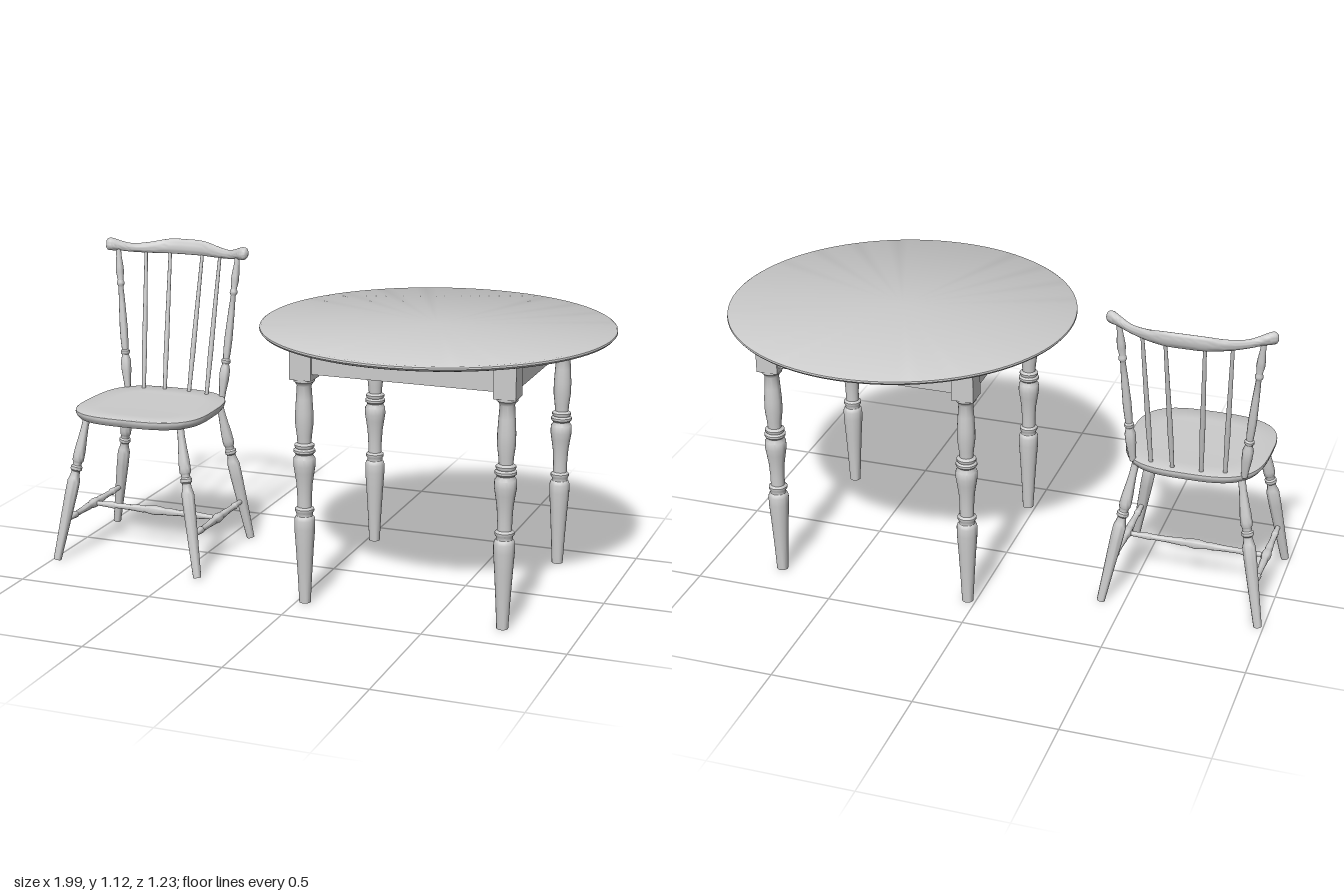
import * as THREE from 'three';
import { toCreasedNormals } from 'three/addons/utils/BufferGeometryUtils.js';

const material = new THREE.MeshStandardMaterial({ color: 0xcccccc, side: THREE.DoubleSide });
const V = (x, y, z) => new THREE.Vector3(x, y, z);

function add(parent, name, geometry) {
  const mesh = new THREE.Mesh(geometry, material);
  mesh.name = name;
  parent.add(mesh);
  return mesh;
}

// Turned part between two points; profile is [fraction along, radius]
function turned(parent, name, a, b, profile, sides = 24) {
  const length = a.distanceTo(b);
  const pts = profile.map(([t, r]) => new THREE.Vector2(r, t * length));
  pts.unshift(new THREE.Vector2(0, pts[0].y));
  pts.push(new THREE.Vector2(0, pts[pts.length - 1].y));
  const mesh = add(parent, name, toCreasedNormals(new THREE.LatheGeometry(pts, sides), 0.7));
  mesh.position.copy(a);
  mesh.quaternion.setFromUnitVectors(V(0, 1, 0), b.clone().sub(a).normalize());
  return mesh;
}

// Skin through closed rings of equal point count, with closed ends
function loft(rings) {
  const n = rings[0].length;
  const pos = [], index = [];
  rings.forEach((ring) => ring.forEach((p) => pos.push(p.x, p.y, p.z)));
  for (let i = 0; i < rings.length - 1; i++) {
    for (let j = 0; j < n; j++) {
      const a = i * n + j, b = i * n + (j + 1) % n;
      index.push(a, a + n, b, b, a + n, b + n);
    }
  }
  [0, rings.length - 1].forEach((r, end) => {
    const c = pos.length / 3;
    const mid = rings[r].reduce((s, p) => s.add(p), V(0, 0, 0)).divideScalar(n);
    pos.push(mid.x, mid.y, mid.z);
    for (let j = 0; j < n; j++) {
      const a = r * n + j, b = r * n + (j + 1) % n;
      if (end) index.push(c, b, a); else index.push(c, a, b);
    }
  });
  const g = new THREE.BufferGeometry();
  g.setAttribute('position', new THREE.Float32BufferAttribute(pos, 3));
  g.setIndex(index);
  return toCreasedNormals(g, 0.7);
}

function createTable() {
  const table = new THREE.Group();
  table.name = 'table';
  // Round top with an eased edge
  turned(table, 'tableTop', V(0, 0, 0), V(0, 1, 0),
    [[0.92, 0.6], [0.923, 0.609], [0.93, 0.615], [0.936, 0.614], [0.94, 0.608]], 96);
  // Legs with square blocks on top
  const k = 0.355;
  const legProfile = [[0, 0.02], [0.1, 0.025], [0.2, 0.031], [0.27, 0.036], [0.3, 0.036], [0.31, 0.033],
    [0.315, 0.028], [0.325, 0.028], [0.332, 0.033], [0.34, 0.033], [0.347, 0.025], [0.38, 0.025],
    [0.43, 0.028], [0.47, 0.034], [0.495, 0.038], [0.52, 0.037], [0.53, 0.03], [0.535, 0.03],
    [0.542, 0.037], [0.55, 0.037], [0.556, 0.03], [0.562, 0.034], [0.568, 0.034], [0.575, 0.024],
    [0.6, 0.026], [0.64, 0.031], [0.68, 0.031], [0.73, 0.028], [0.775, 0.025], [0.785, 0.03],
    [0.79, 0.036], [0.8, 0.036]];
  for (const sx of [-1, 1]) {
    for (const sz of [-1, 1]) {
      turned(table, 'tableLeg', V(sx * k, 0, sz * k), V(sx * k, 1, sz * k), legProfile);
      add(table, 'legBlock', new THREE.BoxGeometry(0.077, 0.122, 0.077)).position.set(sx * k, 0.86, sz * k);
    }
  }
  // Apron rails between the blocks
  for (const s of [-1, 1]) {
    add(table, 'apron', new THREE.BoxGeometry(2 * k - 0.07, 0.1, 0.03)).position.set(0, 0.871, s * 0.368);
    add(table, 'apron', new THREE.BoxGeometry(0.03, 0.1, 2 * k - 0.07)).position.set(s * 0.368, 0.871, 0);
  }
  return table;
}

function createSeat() {
  // Squared-round outline, a little narrower at the back
  const ring = (scale, y) => Array.from({ length: 72 }, (_, i) => {
    const a = (i / 72) * Math.PI * 2;
    const p = (v) => Math.sign(v) * Math.abs(v) ** 0.64;
    const z = p(Math.sin(a));
    return V(p(Math.cos(a)) * (0.25 + 0.008 * z) * scale, y, 0.028 + z * 0.242 * scale);
  });
  return loft([[0.9, 0.525], [0.95, 0.528], [0.985, 0.54], [1, 0.551], [0.996, 0.557], [0.98, 0.56],
    [0.7, 0.558], [0.3, 0.557]].map(([s, y]) => ring(s, y)));
}

function createCrestRail() {
  // Half rail: x, height, z, half height, half thickness
  const half = [[0.07, 1.082, -0.293, 0.027, 0.013], [0.14, 1.077, -0.268, 0.02, 0.013],
    [0.2, 1.078, -0.238, 0.016, 0.013], [0.24, 1.087, -0.217, 0.019, 0.015],
    [0.265, 1.092, -0.205, 0.023, 0.018], [0.278, 1.093, -0.199, 0.021, 0.017], [0.284, 1.093, -0.196, 0.012, 0.01]];
  const mirrored = half.map(([x, ...rest]) => [-x, ...rest]).reverse();
  const all = [...mirrored, [0, 1.083, -0.297, 0.028, 0.013], ...half];
  const spine = new THREE.CatmullRomCurve3(all.map(([x, y, z]) => V(x, y, z)));
  const sizes = new THREE.CatmullRomCurve3(all.map(([x, , , h, t]) => V(x, h, t)));
  const rings = [];
  for (let i = 0; i <= 56; i++) {
    const c = spine.getPoint(i / 56), s = sizes.getPoint(i / 56), d = spine.getTangent(i / 56);
    const out = V(-d.z, 0, d.x).normalize();
    rings.push(Array.from({ length: 20 }, (_, j) => {
      const a = (j / 20) * Math.PI * 2;
      const y = Math.sin(a) * s.y;
      // The section leans back with the spindles
      return c.clone().addScaledVector(out, Math.cos(a) * s.z).add(V(0, y, -0.15 * y));
    }));
  }
  return loft(rings);
}

function createChair() {
  const chair = new THREE.Group();
  chair.name = 'chair';
  add(chair, 'seat', createSeat());
  add(chair, 'crestRail', createCrestRail());

  const legProfile = [[0, 0.0145], [0.2, 0.018], [0.45, 0.0225], [0.55, 0.023], [0.575, 0.019], [0.6, 0.016],
    [0.62, 0.016], [0.63, 0.021], [0.65, 0.021], [0.66, 0.016], [0.68, 0.016], [0.69, 0.02], [0.72, 0.021],
    [0.77, 0.02], [0.85, 0.016], [0.93, 0.013], [1, 0.013]];
  const stretcherProfile = [[0, 0.008], [0.1, 0.01], [0.17, 0.013], [0.18, 0.01], [0.3, 0.011], [0.4, 0.014],
    [0.42, 0.012], [0.46, 0.016], [0.5, 0.018], [0.54, 0.016], [0.58, 0.012], [0.6, 0.014], [0.7, 0.011],
    [0.82, 0.01], [0.83, 0.013], [0.9, 0.01], [1, 0.008]];
  const postProfile = [[0, 0.011], [0.05, 0.013], [0.13, 0.018], [0.2, 0.019], [0.23, 0.014], [0.245, 0.013],
    [0.255, 0.017], [0.27, 0.017], [0.28, 0.012], [0.33, 0.014], [0.42, 0.015], [0.6, 0.012], [0.72, 0.009],
    [0.735, 0.014], [0.75, 0.014], [0.765, 0.01], [0.82, 0.015], [0.86, 0.014], [0.93, 0.01], [1, 0.009]];
  const spindleProfile = [[0, 0.007], [0.3, 0.0095], [0.6, 0.008], [1, 0.006]];

  for (const s of [-1, 1]) {
    // Splayed legs and the side stretcher joining them
    turned(chair, 'frontLeg', V(s * 0.281, 0.002, 0.272), V(s * 0.185, 0.535, 0.186), legProfile);
    turned(chair, 'backLeg', V(s * 0.281, 0.002, -0.214), V(s * 0.185, 0.535, -0.156), legProfile);
    turned(chair, 'sideStretcher', V(s * 0.254, 0.148, -0.198), V(s * 0.254, 0.148, 0.248), stretcherProfile);
    // Back posts and spindles
    turned(chair, 'backPost', V(s * 0.194, 0.55, -0.162), V(s * 0.243, 1.085, -0.213), postProfile);
    turned(chair, 'outerSpindle', V(s * 0.129, 0.55, -0.166), V(s * 0.151, 1.075, -0.262), spindleProfile, 16);
    turned(chair, 'innerSpindle', V(s * 0.05, 0.55, -0.182), V(s * 0.066, 1.075, -0.293), spindleProfile, 16);
  }
  turned(chair, 'crossStretcher', V(-0.252, 0.148, 0.025), V(0.252, 0.148, 0.025), stretcherProfile);
  return chair;
}

export function createModel() {
  const model = new THREE.Group();
  model.name = 'tableAndChair';
  const table = createTable();
  table.position.x = 0.384;
  const chair = createChair();
  chair.position.x = -0.7;
  model.add(table, chair);
  // Loft winding faces outward for every part
  for (const name of ['seat', 'crestRail']) orientOutward(chair.getObjectByName(name).geometry);
  return model;
}

// Flip a closed surface if its signed volume is negative
function orientOutward(g) {
  const p = g.attributes.position, n = g.attributes.normal;
  const at = (i) => V(0, 0, 0).fromBufferAttribute(p, i);
  let volume = 0;
  for (let i = 0; i < p.count; i += 3) volume += at(i).dot(at(i + 1).cross(at(i + 2)));
  if (volume >= 0) return;
  for (let i = 0; i < p.count; i += 3) {
    for (const a of [p, n]) {
      const u = V(0, 0, 0).fromBufferAttribute(a, i), w = V(0, 0, 0).fromBufferAttribute(a, i + 1);
      a.setXYZ(i, w.x, w.y, w.z);
      a.setXYZ(i + 1, u.x, u.y, u.z);
    }
  }
  for (let i = 0; i < n.count; i++) n.setXYZ(i, -n.getX(i), -n.getY(i), -n.getZ(i));
}
